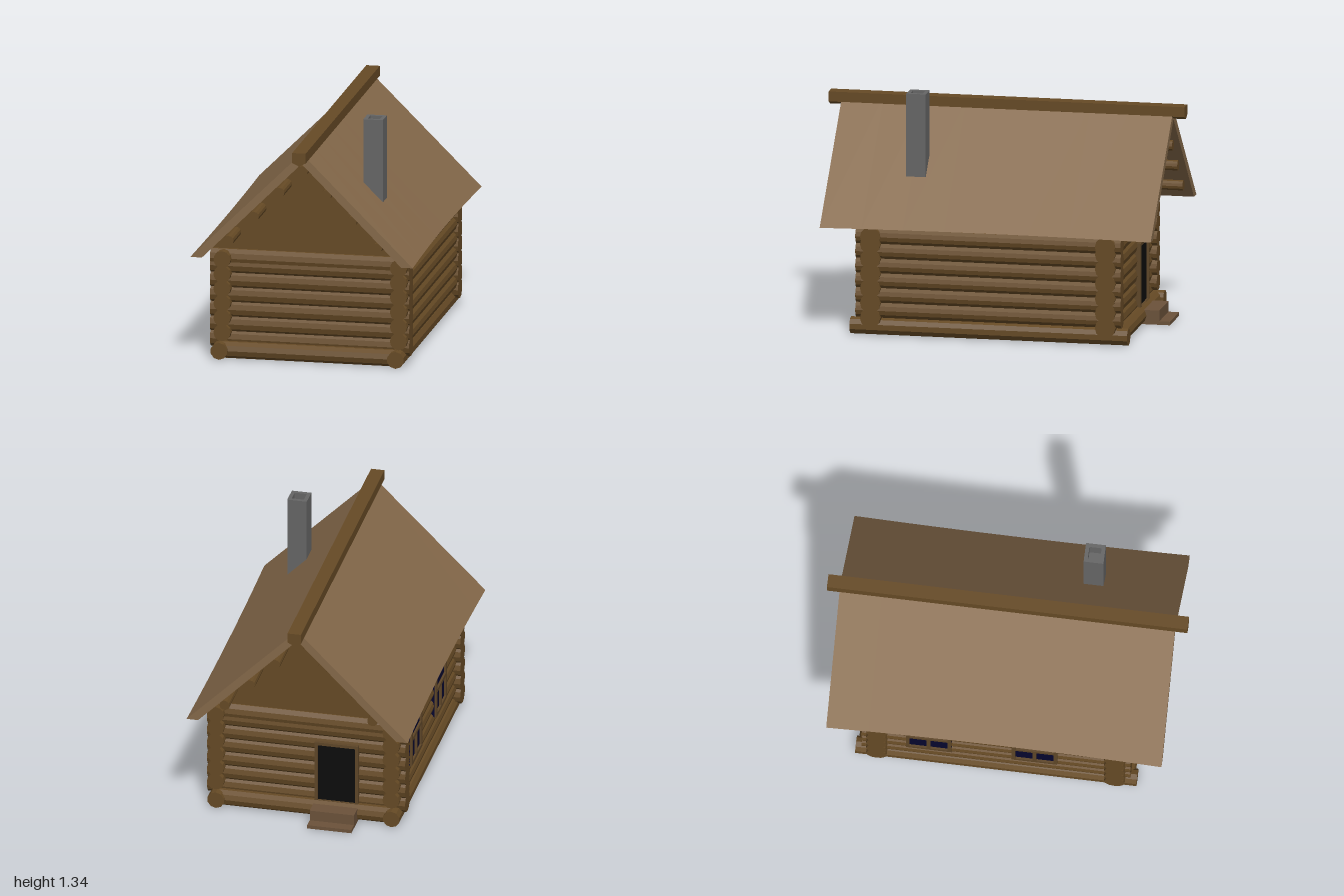
import * as THREE from 'three';

const mat = (color, side = THREE.FrontSide) => {
  const m = new THREE.MeshStandardMaterial({ color, flatShading: true, side });
  return m;
};
const wood = mat(0x664a25), thatch = mat(0x85694a), stone = mat(0x666666);
const trim = mat(0x5e4628), plank = mat(0x6b523a), dark = mat(0x0c0c0c), glass = mat(0x05052e);

export function createModel() {
  const root = new THREE.Group();

  const add = (name, geometry, material, parent = root) => {
    const mesh = new THREE.Mesh(geometry, material);
    mesh.name = name;
    parent.add(mesh);
    return mesh;
  };
  const group = (name) => {
    const g = new THREE.Group();
    g.name = name;
    root.add(g);
    return g;
  };
  // Box given by its limits on each axis
  const box = (name, [x0, x1], [y0, y1], [z0, z1], material, parent) => {
    const g = new THREE.BoxGeometry(x1 - x0, y1 - y0, z1 - z0);
    g.translate((x0 + x1) / 2, (y0 + y1) / 2, (z0 + z1) / 2);
    return add(name, g, material, parent);
  };
  // Faceted log lying along x or z, centred on the third axis
  const log = (name, axis, half, r, a, y, parent, sides = 12) => {
    const g = new THREE.CylinderGeometry(r, r, half * 2, sides);
    if (axis === 'x') g.rotateZ(Math.PI / 2).translate(0, y, a);
    else g.rotateX(Math.PI / 2).translate(a, y, 0);
    return add(name, g, wood, parent);
  };
  // Cross-section extruded along z, centred
  const prism = (points, half, steps = 1) => {
    const shape = new THREE.Shape(points.map(([x, y]) => new THREE.Vector2(x, y)));
    const g = new THREE.ExtrudeGeometry(shape, { depth: half * 2, steps, bevelEnabled: false });
    return g.translate(0, 0, -half);
  };

  // Foundation
  const base = group('foundation');
  for (const s of [-1, 1]) {
    log('baseSideLog', 'z', 0.78, 0.048, s * 0.496, 0.048, base, 10);
    log('baseEndLog', 'x', 0.49, 0.048, s * 0.72, 0.048, base, 10);
  }
  box('floor', [-0.495, 0.495], [0.002, 0.06], [-0.735, 0.735], wood, base);

  // Log walls: side rows sit half a log above the end rows
  const walls = group('walls');
  for (let i = 0; i < 6; i++) {
    for (const x of [-0.486, 0.506]) log('sideWallLog', 'z', 0.745, 0.048, x, 0.145 + i * 0.083, walls);
    for (const z of [-0.66, 0.66]) log('endWallLog', 'x', 0.56, 0.057, z, 0.104 + i * 0.083, walls);
  }
  for (const z of [-0.66, 0.66]) log('topEndLog', 'x', 0.56, 0.057, z, 0.56, walls);

  // Gables and the purlins poking out of them
  add('gable', prism([[-0.56, 0.613], [0.56, 0.613], [0, 1.173]], 0.69), wood);
  const purlins = group('purlins');
  log('ridgePurlin', 'z', 0.9, 0.029, 0, 1.125, purlins);
  for (const s of [-1, 1])
    for (let i = 0; i < 3; i++) log('purlin', 'z', 0.9, 0.029, s * (0.132 + i * 0.143), 0.997 - i * 0.144, purlins);

  // Roof with eaves drawn in slightly toward the middle
  const roof = prism([[-0.625, 0.615], [-0.56, 0.615], [0, 1.175], [0.56, 0.615], [0.625, 0.615], [0, 1.235]], 0.93, 8);
  const p = roof.attributes.position;
  for (let i = 0; i < p.count; i++) {
    if (Math.abs(p.getX(i)) < 0.6) continue;
    const bow = 1 - (p.getZ(i) / 0.93) ** 2;
    p.setX(i, p.getX(i) - Math.sign(p.getX(i)) * 0.012 * bow);
    p.setY(i, p.getY(i) + 0.006 * bow);
  }
  roof.computeVertexNormals();
  add('roof', roof, thatch);

  // Ridge beam with a pointed underside
  add('ridgeBeam', prism([[-0.038, 1.253], [-0.038, 1.197], [0, 1.178], [0.038, 1.197], [0.038, 1.253]], 1), wood);

  // Chimney: solid stack with a hollow mouth
  const chimney = group('chimney');
  box('chimneyStack', [0.257, 0.367], [0.84, 1.25], [0.387, 0.497], stone, chimney);
  const square = (P, h) => {
    const s = new P();
    s.moveTo(-h, -h).lineTo(h, -h).lineTo(h, h).lineTo(-h, h).closePath();
    return s;
  };
  const mouth = square(THREE.Shape, 0.055);
  mouth.holes.push(square(THREE.Path, 0.034));
  const mouthGeo = new THREE.ExtrudeGeometry(mouth, { depth: 0.085, bevelEnabled: false });
  mouthGeo.rotateX(-Math.PI / 2).translate(0.312, 1.25, 0.442);
  add('chimneyMouth', mouthGeo, stone, chimney);

  // Back door with frame and two steps
  const door = group('door');
  box('doorOpening', [-0.28, -0.07], [0.09, 0.435], [-0.722, -0.66], dark, door);
  for (const x of [-0.298, -0.07]) box('doorPost', [x, x + 0.018], [0.08, 0.452], [-0.735, -0.66], trim, door);
  box('doorLintel', [-0.298, -0.052], [0.435, 0.452], [-0.735, -0.66], trim, door);
  box('doorSill', [-0.298, -0.052], [0.078, 0.095], [-0.735, -0.66], trim, door);
  box('upperStep', [-0.3, -0.05], [0.02, 0.08], [-0.84, -0.7], plank, door);
  box('lowerStep', [-0.3, -0.05], [0, 0.02], [-0.9, -0.7], plank, door);

  // Two windows on the right wall, each with a T-shaped glazing bar
  for (const z of [-0.372, 0.215]) {
    const win = group('window');
    const w = 0.126, y0 = 0.24, y1 = 0.51, t = 0.02, out = [-0.547, -0.48];
    box('glass', [-0.535, -0.48], [y0, y1], [z - w, z + w], glass, win);
    for (const y of [y0, y1 - t]) box('frameRail', out, [y, y + t], [z - w, z + w], trim, win);
    for (const e of [z - w, z + w - t]) box('frameStile', out, [y0 + t, y1 - t], [e, e + t], trim, win);
    box('crossBar', out, [0.385, 0.405], [z - w + t, z + w - t], trim, win);
    box('middleBar', out, [y0 + t, 0.385], [z - 0.01, z + 0.01], trim, win);
  }

  return root;
}
